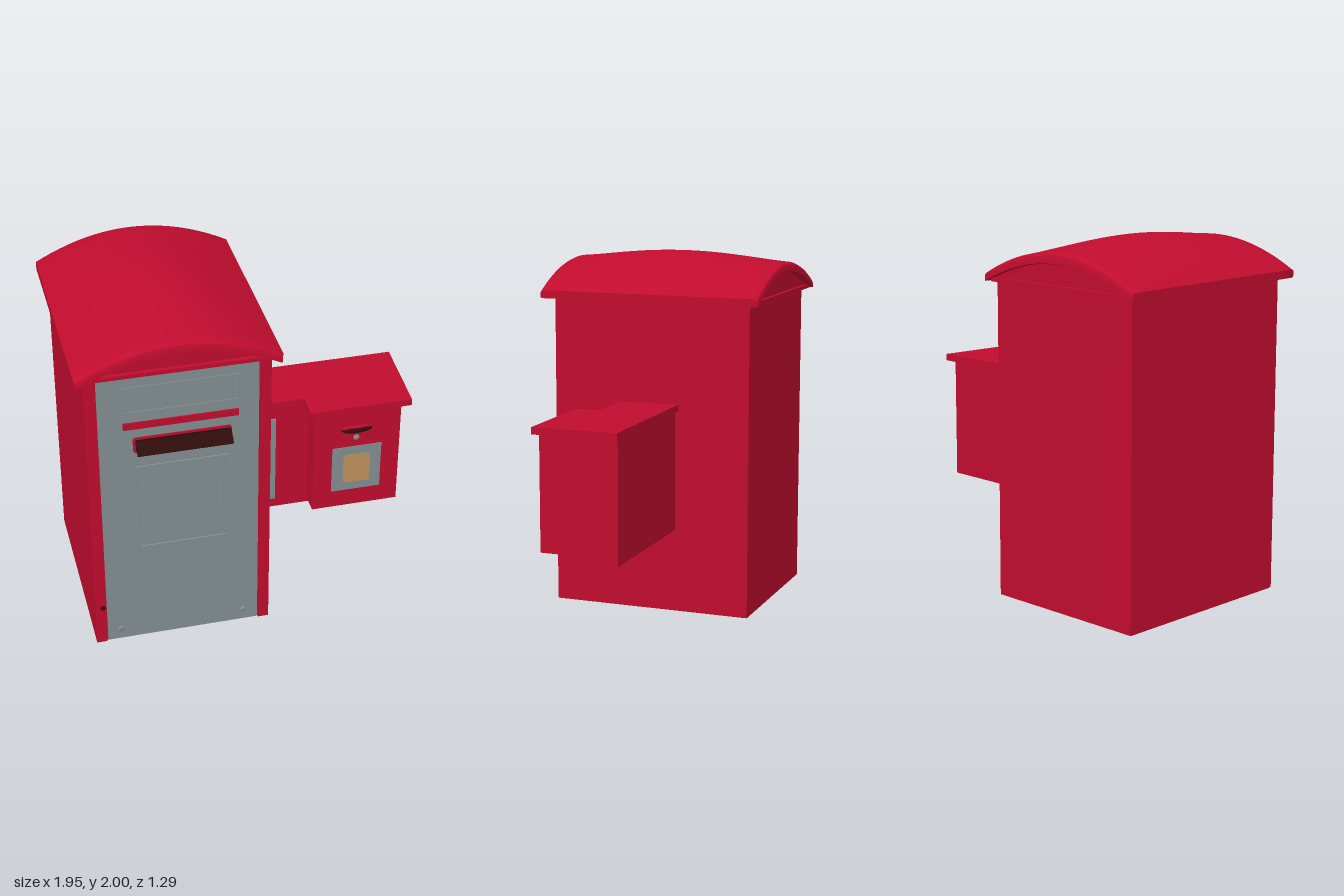
import * as THREE from 'three';
import { toCreasedNormals } from 'three/addons/utils/BufferGeometryUtils.js';

const material = (name, color) => {
  const m = new THREE.MeshStandardMaterial({ color });
  m.name = name;
  return m;
};

// Closed outline from [x, y] pairs
const outline = (pts) => new THREE.Shape(pts.map(([x, y]) => new THREE.Vector2(x, y)));

function extrude(shape, z0, z1) {
  const geo = new THREE.ExtrudeGeometry(shape, { depth: z1 - z0, bevelEnabled: false, curveSegments: 10 });
  return geo.translate(0, 0, z0);
}

// Rectangle with rounded corners
function roundedRect(x0, x1, y0, y1, r) {
  const s = new THREE.Shape();
  s.absarc(x1 - r, y1 - r, r, 0, Math.PI / 2);
  s.absarc(x0 + r, y1 - r, r, Math.PI / 2, Math.PI);
  s.absarc(x0 + r, y0 + r, r, Math.PI, Math.PI * 1.5);
  s.absarc(x1 - r, y0 + r, r, Math.PI * 1.5, Math.PI * 2);
  return s;
}

// Frame: rectangle with a rectangular hole
function frame(x0, x1, y0, y1, t, z0, z1) {
  const s = outline([[x0, y0], [x1, y0], [x1, y1], [x0, y1]]);
  s.holes.push(outline([[x0 + t, y0 + t], [x0 + t, y1 - t], [x1 - t, y1 - t], [x1 - t, y0 + t]]));
  return extrude(s, z0, z1);
}

// Notice plate with sides that pinch inwards
function pinchedRect(x0, x1, y0, y1, pinch) {
  const s = new THREE.Shape();
  const my = (y0 + y1) / 2;
  s.moveTo(x0, y0);
  s.lineTo(x1, y0);
  s.quadraticCurveTo(x1 - pinch * 2, my, x1, y1);
  s.lineTo(x0, y1);
  s.quadraticCurveTo(x0 + pinch * 2, my, x0, y0);
  return s;
}

// Arched shell that swells towards the middle, with rounded end lips
function roofGeometry() {
  const n = 32, cx = -0.43, half = 0.545;
  const stations = [[-0.67, 0.015], [-0.664, 0.006], [-0.645, 0]];
  for (let k = 1; k < 16; k++) stations.push([-0.645 + k * 1.24 / 16, 0]);
  stations.push([0.595, 0], [0.614, 0.006], [0.62, 0.015]);
  const pos = [], idx = [], ring = 2 * (n + 1);
  for (const [z, inset] of stations) {
    const v = (z + 0.025) / 0.645;
    const swell = 0.05 * Math.pow(Math.max(0, 1 - v * v), 1.5);
    for (let k = 0; k < ring; k++) {
      const top = k <= n;
      const u = ((top ? k : ring - 1 - k) / n) * 2 - 1;
      const a = 1 - u * u;
      const y = top ? 1.8 + 0.15 * a + swell * a * a - inset * 1.5 : 1.755 + 0.135 * a + inset * 0.3;
      pos.push(cx + u * (half - inset), y, z);
    }
  }
  const quad = (a, b, c, d) => idx.push(a, b, c, a, c, d);
  const last = (stations.length - 1) * ring;
  for (let j = 0; j < stations.length - 1; j++) {
    for (let k = 0; k < ring; k++) {
      const a = j * ring + k, b = j * ring + (k + 1) % ring;
      quad(a, a + ring, b + ring, b);
    }
  }
  for (let i = 0; i < n; i++) {
    const bot = ring - 1 - i;
    quad(last + i, last + bot, last + bot - 1, last + i + 1);
    quad(i, i + 1, bot - 1, bot);
  }
  const geo = new THREE.BufferGeometry();
  geo.setAttribute('position', new THREE.Float32BufferAttribute(pos, 3));
  geo.setIndex(idx);
  return toCreasedNormals(geo, Math.PI / 5);
}

export function createModel() {
  const red = material('post red', 0xc10c2e);
  const grey = material('panel grey', 0x838d90);
  const dark = material('slot dark', 0x2e0c0c);
  const orange = material('label orange', 0xc0935a);
  const base = material('base underside', 0x9a686e);

  const model = new THREE.Group();
  model.name = 'mailbox';
  const group = (name) => {
    const g = new THREE.Group();
    g.name = name;
    model.add(g);
    return g;
  };
  const add = (parent, name, geo, mat) => {
    const m = new THREE.Mesh(geo, mat);
    m.name = name;
    parent.add(m);
    return m;
  };
  const box = (parent, name, mat, x0, x1, y0, y1, z0, z1) => {
    const geo = new THREE.BoxGeometry(x1 - x0, y1 - y0, z1 - z0);
    geo.translate((x0 + x1) / 2, (y0 + y1) / 2, (z0 + z1) / 2);
    return add(parent, name, geo, mat);
  };
  // Domed bolt head facing the front
  const bolt = (parent, name, mat, x, y, z, r) => {
    const m = add(parent, name, new THREE.SphereGeometry(r, 16, 10), mat);
    m.scale.z = 0.5;
    m.position.set(x, y, z);
    return m;
  };

  // Main cabinet
  const cabinet = group('cabinet');
  box(cabinet, 'cabinetBody', [red, red, red, base, red, red], -0.92, 0.07, 0, 1.76, -0.61, 0.53);
  box(cabinet, 'rightPost', red, -0.92, -0.862, 0.002, 1.755, 0.53, 0.542);
  box(cabinet, 'leftPost', red, 0.012, 0.07, 0.002, 1.755, 0.53, 0.542);
  bolt(cabinet, 'sideLock', dark, -0.877, 0.245, 0.542, 0.015);

  // Roof with gables filling the arch
  const roof = group('roof');
  add(roof, 'roofShell', roofGeometry(), red);
  const gable = [[-0.935, 1.75], [0.075, 1.75]];
  for (let i = 0; i <= 20; i++) {
    const x = 0.075 - i * 1.01 / 20, u = (x + 0.43) / 0.545;
    gable.push([x, 1.765 + 0.135 * (1 - u * u)]);
  }
  add(roof, 'gable', extrude(outline(gable), -0.625, 0.55), red);
  box(roof, 'eaveLedge', red, -0.945, 0.085, 1.755, 1.777, -0.645, 0.575);

  // Grey front door
  const door = group('frontDoor');
  box(door, 'doorPanel', grey, -0.855, 0.004, 0.01, 1.742, 0.53, 0.543);
  add(door, 'upperFrame', frame(-0.725, -0.095, 1.52, 1.68, 0.007, 0.54, 0.548), grey);
  box(door, 'upperPlate', grey, -0.718, -0.108, 1.465, 1.522, 0.54, 0.547);
  box(door, 'redBar', red, -0.725, -0.108, 1.425, 1.465, 0.54, 0.556);
  for (const x of [-0.782, -0.078]) bolt(door, 'doorBolt', grey, x, 0.08, 0.543, 0.018);

  const notice = pinchedRect(-0.665, -0.165, 0.633, 1.18, 0.012);
  notice.holes.push(pinchedRect(-0.652, -0.178, 0.646, 1.167, 0.012));
  add(door, 'noticeFrame', extrude(notice, 0.54, 0.552), grey);

  // Letter slot with tilted flap
  const slot = group('letterSlot');
  add(slot, 'slotFrame', extrude(roundedRect(-0.675, -0.145, 1.272, 1.365, 0.015), 0.54, 0.55), red);
  box(slot, 'slotOpening', dark, -0.66, -0.155, 1.285, 1.352, 0.545, 0.553);
  const flap = add(slot, 'slotFlap', new THREE.BoxGeometry(0.515, 0.092, 0.008), dark);
  flap.position.set(-0.405, 1.317, 0.574);
  flap.rotation.x = -0.83;

  // Side box and its stepped lid
  const side = group('sideBox');
  box(side, 'sideBoxBody', red, 0.06, 0.915, 0.47, 1.16, -0.18, 0.15);
  box(side, 'sideBoxFront', red, 0.395, 0.895, 0.5, 1.155, 0.14, 0.272);
  const lidShape = outline([[0.06, -0.148], [0.365, -0.148], [0.365, -0.293],
    [0.948, -0.293], [0.972, 0.2], [0.06, 0.2]]);
  const lidGeo = extrude(lidShape, 0, 0.038);
  lidGeo.rotateX(-Math.PI / 2);
  const lid = add(side, 'sideBoxLid', lidGeo, red);
  lid.position.y = 1.149;
  lid.rotation.x = 0.012;

  // Grey mounting strip
  box(side, 'mountingStrip', grey, 0.082, 0.205, 0.53, 1.08, 0.145, 0.158);
  for (const y of [0.605, 1.012]) bolt(side, 'stripBolt', grey, 0.143, y, 0.158, 0.009);

  // Small door fittings
  box(side, 'plateBorder', red, 0.492, 0.798, 0.602, 0.918, 0.27, 0.275);
  box(side, 'greyPlate', grey, 0.502, 0.788, 0.612, 0.908, 0.27, 0.279);
  add(side, 'orangeLabel', extrude(roundedRect(0.568, 0.724, 0.664, 0.854, 0.02), 0.278, 0.282), orange);
  bolt(side, 'keyhole', grey, 0.64, 0.965, 0.273, 0.018);
  const pull = add(side, 'pullRecess', new THREE.SphereGeometry(1, 24, 12), dark);
  pull.scale.set(0.09, 0.02, 0.026);
  pull.position.set(0.64, 1.022, 0.275);
  const hood = new THREE.CatmullRomCurve3([[0.56, 1.03, 0.272], [0.59, 1.046, 0.287],
    [0.64, 1.05, 0.294], [0.69, 1.046, 0.287], [0.72, 1.03, 0.272]].map((p) => new THREE.Vector3(...p)));
  add(side, 'pullHood', new THREE.TubeGeometry(hood, 20, 0.009, 8), red);

  return model;
}
